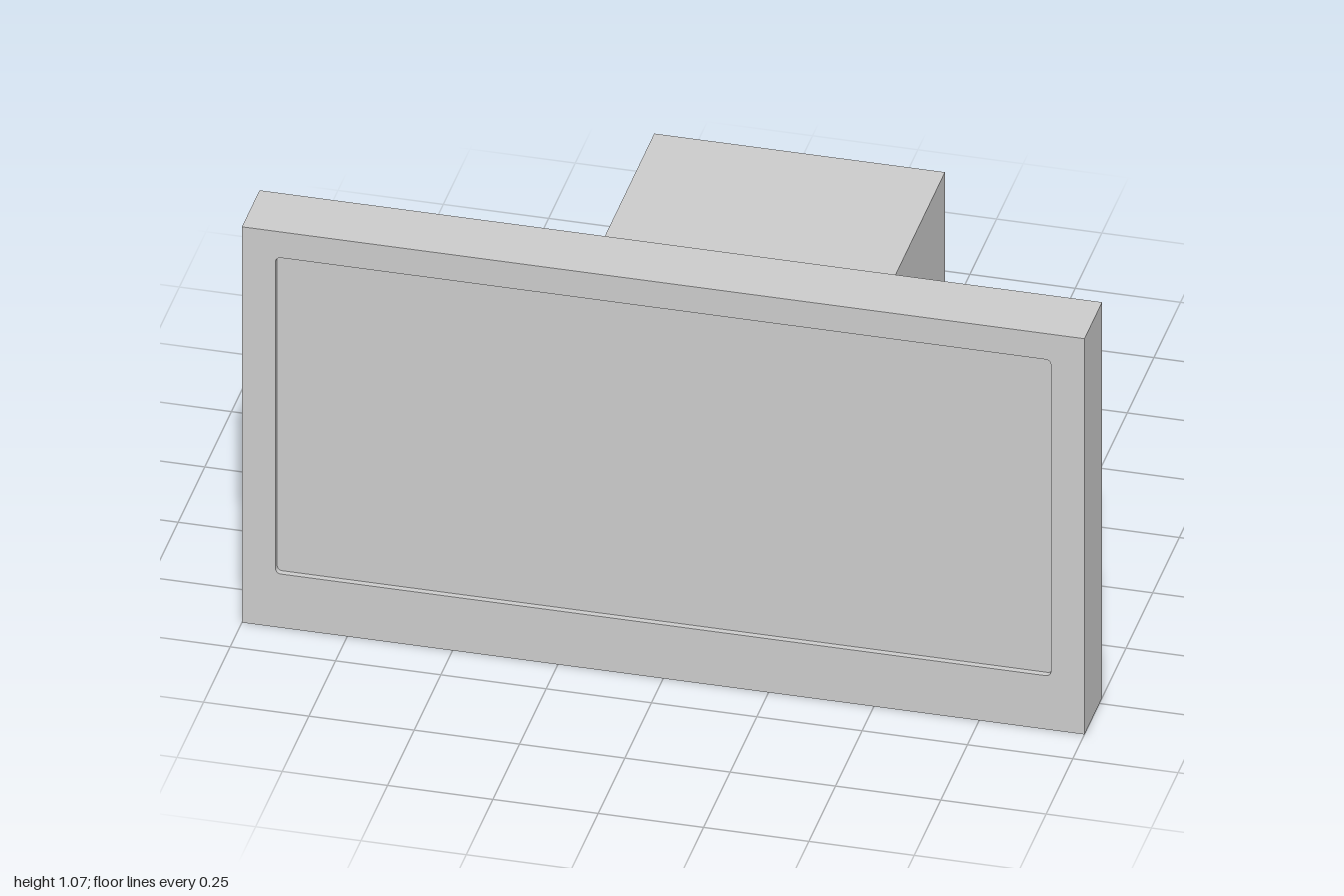
import * as THREE from 'three';

const material = new THREE.MeshStandardMaterial({ color: 0xcccccc });

// Rectangle outline with slightly rounded corners
function roundedRect(path, x0, y0, x1, y1, r) {
  path.moveTo(x0 + r, y0);
  path.lineTo(x1 - r, y0);
  path.absarc(x1 - r, y0 + r, r, -Math.PI / 2, 0);
  path.lineTo(x1, y1 - r);
  path.absarc(x1 - r, y1 - r, r, 0, Math.PI / 2);
  path.lineTo(x0 + r, y1);
  path.absarc(x0 + r, y1 - r, r, Math.PI / 2, Math.PI);
  path.lineTo(x0, y0 + r);
  path.absarc(x0 + r, y0 + r, r, Math.PI, Math.PI * 1.5);
  return path;
}

function extrude(shape, depth, z) {
  return new THREE.ExtrudeGeometry(shape, { depth, bevelEnabled: false, curveSegments: 4 }).translate(0, 0, z);
}

export function createModel() {
  const group = new THREE.Group();
  const add = (name, geometry) => {
    const mesh = new THREE.Mesh(geometry, material);
    mesh.name = name;
    group.add(mesh);
  };

  const width = 2, height = 1.07, back = 0.475, front = 0.64, recess = 0.015;
  const opening = [-0.92, 0.145, 0.92, 1.0, 0.012];

  // Frame around the shallow front recess
  const outline = new THREE.Shape([
    new THREE.Vector2(-width / 2, 0), new THREE.Vector2(width / 2, 0),
    new THREE.Vector2(width / 2, height), new THREE.Vector2(-width / 2, height),
  ]);
  outline.holes.push(roundedRect(new THREE.Path(), ...opening));
  add('frame', extrude(outline, front - back, back));

  // Panel set back inside the frame
  add('panel', extrude(roundedRect(new THREE.Shape(), ...opening), front - back - recess, back));

  // Block projecting from the rear
  add('rearBlock', new THREE.BoxGeometry(0.69, 0.305, 1.115).translate(0, 0.503, -0.0825));

  return group;
}
